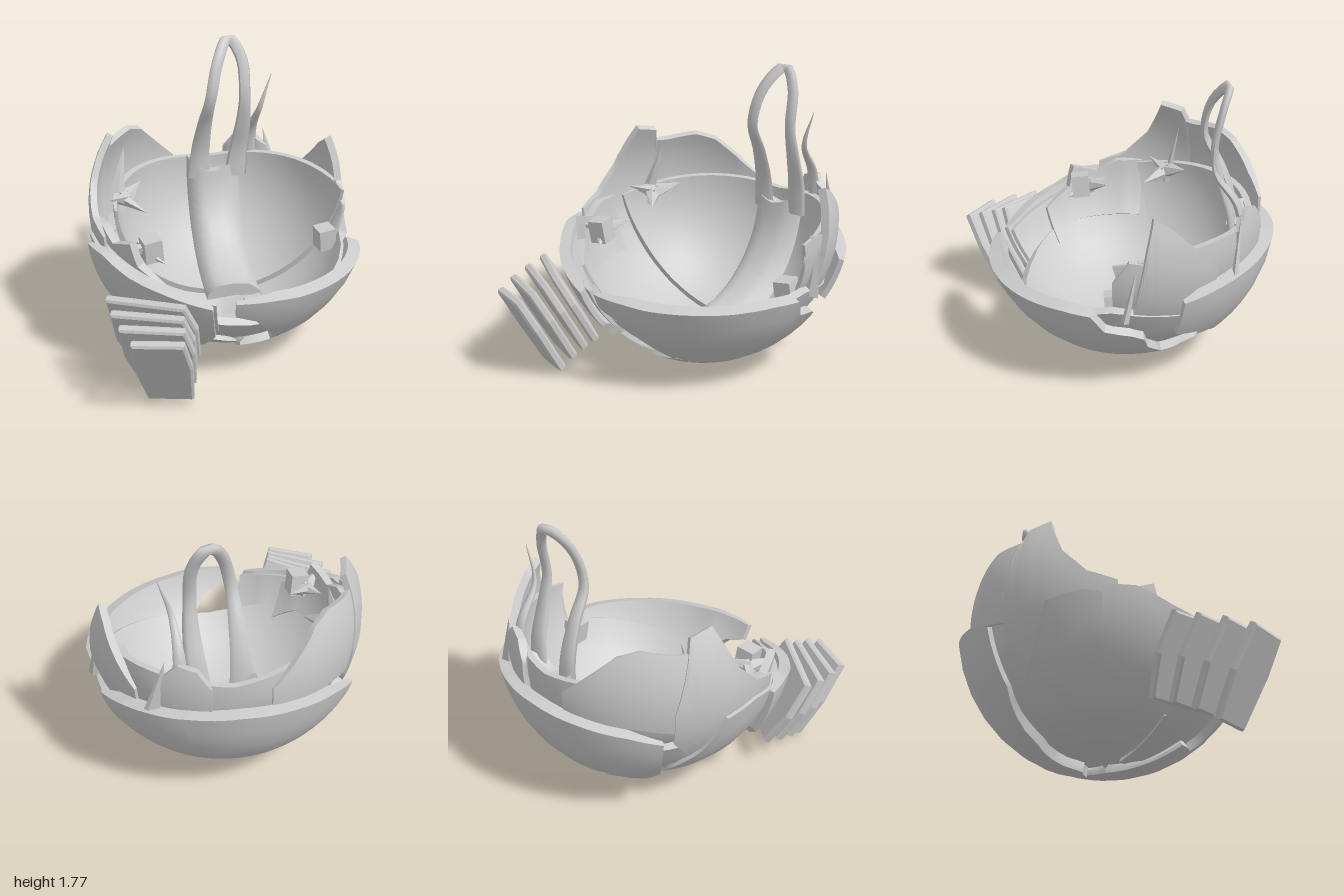
import * as THREE from 'three';
import { toCreasedNormals } from 'three/addons/utils/BufferGeometryUtils.js';

const V = (x, y, z) => new THREE.Vector3(x, y, z);
const CENTRE = V(0, 0.89, -0.1);
const rad = THREE.MathUtils.degToRad;

export function createModel() {
  const group = new THREE.Group();
  const material = new THREE.MeshStandardMaterial({ color: 0xcccccc, side: THREE.DoubleSide });

  function add(name, geometry) {
    const mesh = new THREE.Mesh(geometry, material);
    mesh.name = name;
    group.add(mesh);
    return mesh;
  }

  // Closed thick sheet: fn(u, v) gives the outer face, the inner face lies t nearer the centre, thinner at both ends
  function sheet(name, fn, t, nu, nv) {
    const outer = [], inner = [], index = [];
    for (let j = 0; j <= nv; j++) for (let i = 0; i <= nu; i++) {
      const p = fn(i / nu, j / nv);
      const d = CENTRE.clone().sub(p).normalize();
      const taper = Math.min(1, 0.4 + 4 * Math.min(i, nu - i) / nu);
      outer.push(...p.toArray());
      inner.push(...p.addScaledVector(d, t * taper).toArray());
    }
    const id = (i, j) => j * (nu + 1) + i, n = (nu + 1) * (nv + 1);
    for (let j = 0; j < nv; j++) for (let i = 0; i < nu; i++) {
      const a = id(i, j), b = id(i + 1, j), c = id(i + 1, j + 1), d = id(i, j + 1);
      index.push(a, b, c, a, c, d, n + a, n + c, n + b, n + a, n + d, n + c);
    }
    const loop = [];
    for (let i = 0; i < nu; i++) loop.push(id(i, 0));
    for (let j = 0; j < nv; j++) loop.push(id(nu, j));
    for (let i = nu; i > 0; i--) loop.push(id(i, nv));
    for (let j = nv; j > 0; j--) loop.push(id(0, j));
    loop.forEach((p, k) => {
      const q = loop[(k + 1) % loop.length];
      index.push(q, p, n + p, q, n + p, n + q);
    });
    const g = new THREE.BufferGeometry();
    g.setAttribute('position', new THREE.Float32BufferAttribute(outer.concat(inner), 3));
    g.setIndex(index);
    return add(name, toCreasedNormals(g, 0.7));
  }

  // Piece of a ball: columns of [azimuth from the front, bottom height, top height]
  function plate(name, R, t, cols) {
    const steps = 4, last = cols.length - 1;
    sheet(name, (u, v) => {
      const s = u * last, k = Math.min(Math.floor(s), last - 1);
      const [az, low, high] = cols[k].map((c, m) => THREE.MathUtils.lerp(c, cols[k + 1][m], s - k));
      const lat = y => Math.asin(THREE.MathUtils.clamp((y - CENTRE.y) / R, -1, 1));
      const l = THREE.MathUtils.lerp(lat(low), lat(high), v), a = rad(az);
      return V(Math.sin(a) * Math.cos(l), Math.sin(l), Math.cos(a) * Math.cos(l)).multiplyScalar(R).add(CENTRE);
    }, t, last * steps, 8);
  }

  // Flattened pointed splinter from a to b
  function shard(name, a, b, r, flat = 0.4) {
    const d = b.clone().sub(a), g = new THREE.ConeGeometry(r, d.length(), 5);
    g.scale(1, 1, flat);
    const m = add(name, toCreasedNormals(g, 0.5));
    m.position.copy(a).addScaledVector(d, 0.5);
    m.quaternion.setFromUnitVectors(V(0, 1, 0), d.normalize());
  }

  // Bent strand along a path; width(t) gives its half width in x, it is thin in z
  function strand(name, points, width) {
    const path = new THREE.CatmullRomCurve3(points.map(p => V(...p)));
    const rings = 40, sides = 7, r = 0.035;
    const g = new THREE.TubeGeometry(path, rings, r, sides);
    const pos = g.attributes.position;
    for (let i = 0; i < pos.count; i++) {
      const t = Math.floor(i / (sides + 1)) / rings, c = path.getPointAt(t), k = width(t) / r;
      const d = V().fromBufferAttribute(pos, i).sub(c).multiply(V(k, Math.min(k, 1), 0.65 * Math.min(k, 1)));
      pos.setXYZ(i, c.x + d.x, c.y + d.y, c.z + d.z);
    }
    g.computeVertexNormals();
    add(name, g);
  }

  // Inner bowl: low floor and the back wall cut off along a slanting arc
  plate('bowlFloor', 0.84, 0.05, [[-180, 0.05, 0.5], [-135, 0.05, 0.55], [-90, 0.05, 0.62], [-45, 0.05, 0.48],
    [-15, 0.05, 0.38], [0, 0.05, 0.36], [15, 0.05, 0.37], [45, 0.05, 0.45], [90, 0.05, 0.6], [135, 0.05, 0.5], [180, 0.05, 0.5]]);
  sheet('backWall', (u, v) => {
    const g = u * Math.PI, b = THREE.MathUtils.lerp(rad(15), rad(92 + 7 * Math.abs(Math.cos(g))), v);
    return V(Math.cos(g) * 0.73 + 0.04, -Math.sin(g) * Math.cos(b) * 0.76, -Math.sin(g) * Math.sin(b) * 0.76).add(CENTRE);
  }, 0.04, 28, 14);

  // Outer armour plates
  plate('frontPlate', 0.89, 0.08, [[-9, 0.5, 0.6], [0, 0.45, 0.6], [8, 0.33, 0.6], [18, 0.2, 0.59], [25, 0, 0.59],
    [50, 0, 0.59], [70, 0, 0.6], [82, 0, 0.59], [87, 0, 0.47], [98, 0, 0.44], [104, 0, 0.4], [107, 0, 0.3],
    [120, 0, 0.17], [140, 0, 0.14], [150, 0, 0.17], [160, 0, 0.15]]);
  plate('backPlate', 0.9, 0.08, [[118, 0.42, 0.68], [125, 0.4, 0.7], [131, 0.39, 0.72], [143, 0.32, 0.75], [155, 0.24, 0.77],
    [159, 0, 0.78], [180, 0, 0.8], [200, 0, 0.78], [220, 0.1, 0.74], [233, 0.35, 0.68]]);
  plate('rightPlate', 0.86, 0.06, [[-122, 0.1, 0.3], [-108, 0.04, 0.5], [-100, 0.03, 0.74], [-85, 0.03, 0.78],
    [-65, 0.03, 0.72], [-45, 0.04, 0.65], [-30, 0.12, 0.61], [-17, 0.3, 0.57]]);
  plate('collar', 0.91, 0.07, [[-78, 0.45, 0.78], [-66, 0.3, 0.78], [-52, 0.2, 0.7], [-38, 0.18, 0.65],
    [-26, 0.2, 0.6], [-18, 0.32, 0.57]]);
  plate('bottomPlate', 0.89, 0.05, [[-2, 0, 0.13], [15, 0, 0.15], [30, 0, 0.17]]);
  plate('lowerFrontChip', 0.87, 0.03, [[-38, 0.03, 0.2], [-22, 0.03, 0.23], [-6, 0.05, 0.18]]);

  // Torn upright panels around the rim
  plate('rightBackPanel', 0.83, 0.04, [[192, 0.8, 0.92], [204, 0.78, 1.08], [214, 0.76, 1.2], [224, 0.75, 1.24],
    [238, 0.7, 1.21], [250, 0.7, 1.2]]);
  plate('rightFin', 0.84, 0.04, [[238, 0.62, 0.85], [246, 0.45, 1.29], [257, 0.35, 1.32], [266, 0.35, 1.05],
    [276, 0.35, 0.9], [288, 0.45, 0.84]]);
  plate('rightInnerPlate', 0.8, 0.05, [[-92, 0.5, 0.86], [-80, 0.5, 0.87], [-70, 0.5, 0.8], [-57, 0.5, 0.86],
    [-54, 0.5, 0.72], [-40, 0.4, 0.62]]);
  plate('leftFin', 0.83, 0.05, [[99, 0.46, 0.6], [104, 0.42, 1.0], [107, 0.42, 1.18], [114, 0.42, 1.12],
    [124, 0.42, 0.98], [135, 0.5, 0.82]]);
  plate('leftInnerPlate', 0.79, 0.04, [[90, 0.5, 0.78], [97, 0.5, 0.92], [106, 0.5, 0.9]]);
  plate('backTab', 0.83, 0.05, [[147, 0.75, 0.98], [154, 0.75, 1.08], [162, 0.75, 1.06], [168, 0.75, 0.95]]);

  // Broad strut lying up the inside of the back wall
  sheet('strut', (u, v) => {
    const b = rad(6 + (80 + 32 * (u - 0.5) ** 2) * v), x = THREE.MathUtils.lerp(0.26, -0.1, u);
    const r = 0.7 + 0.03 * Math.abs(u - 0.5);
    return V(x, CENTRE.y - r * Math.cos(b), CENTRE.z - r * Math.sin(b));
  }, 0.09, 6, 14);

  // Tall bent loop growing out of the strut, and a hooked spike beside it
  strand('loop', [[-0.025, 0.8, -0.75], [-0.02, 1.0, -0.73], [-0.005, 1.2, -0.66], [0.015, 1.4, -0.56],
    [0.07, 1.63, -0.6], [0.16, 1.755, -0.7], [0.24, 1.63, -0.67], [0.255, 1.4, -0.63], [0.255, 1.2, -0.67],
    [0.24, 1.0, -0.73], [0.22, 0.8, -0.75]], t => 0.038 + 0.04 * Math.max(0, Math.abs(t - 0.5) - 0.22) / 0.28);
  strand('backSpike', [[0.34, 0.8, -0.82], [0.335, 1.1, -0.77], [0.36, 1.3, -0.64], [0.43, 1.52, -0.63]],
    t => 0.055 * (1 - t) + 0.002);

  // Splinters at the back and sides
  shard('leftBackSpike', V(0.5, 0.7, -0.78), V(0.42, 1.1, -0.8), 0.06);
  shard('leftSpike', V(0.77, 0.55, -0.18), V(0.765, 0.94, -0.25), 0.06);
  shard('rightSpike', V(-0.66, 0.8, -0.3), V(-0.58, 1.2, -0.38), 0.07);

  // Broken fittings inside the bowl
  for (const [x, y, z] of [[-0.6, 0.88, -0.3], [-0.58, 0.76, 0.2]]) {
    const c = V(x, y, z);
    for (const [dx, dy, dz] of [[0.13, 0.06, -0.13], [0.12, -0.05, 0.14], [-0.1, 0.05, 0.12], [-0.08, 0.02, -0.1]])
      shard('brokenFitting', c, c.clone().add(V(dx, dy, dz)), 0.06, 0.7);
  }
  for (const [x, y, z] of [[0.65, 0.58, -0.1], [0.18, 0.16, -0.03], [-0.53, 0.78, 0.25]]) {
    const m = add('stud', new THREE.BoxGeometry(0.11, 0.14, 0.11));
    m.position.set(x, y, z);
    m.rotation.set(0.1, 0.15, 0.1);
  }

  // Fanned stack of tilted slabs at the front right corner: x, y, z, width, height, yaw
  const slabs = [[-0.57, 0.285, 0.825, 0.31, 0.53, -0.33], [-0.575, 0.33, 0.72, 0.4, 0.5, -0.4],
    [-0.575, 0.365, 0.615, 0.46, 0.48, -0.48], [-0.56, 0.4, 0.52, 0.52, 0.47, -0.56]];
  for (const [x, y, z, w, h, yaw] of slabs) {
    const s = new THREE.Shape([[-0.4, -0.5], [0.4, -0.5], [0.5, 0.1], [0.45, 0.5], [-0.45, 0.5], [-0.5, 0]]
      .map(([a, b]) => new THREE.Vector2(a * w, b * h)));
    const g = new THREE.ExtrudeGeometry(s, { depth: 0.03, bevelEnabled: true, bevelSize: 0.012, bevelThickness: 0.012, bevelSegments: 1 });
    g.translate(0, 0, -0.015);
    const m = add('slab', g);
    m.position.set(x, y, z);
    m.rotation.set(0.5, yaw, 0.06, 'YXZ');
  }
  return group;
}
